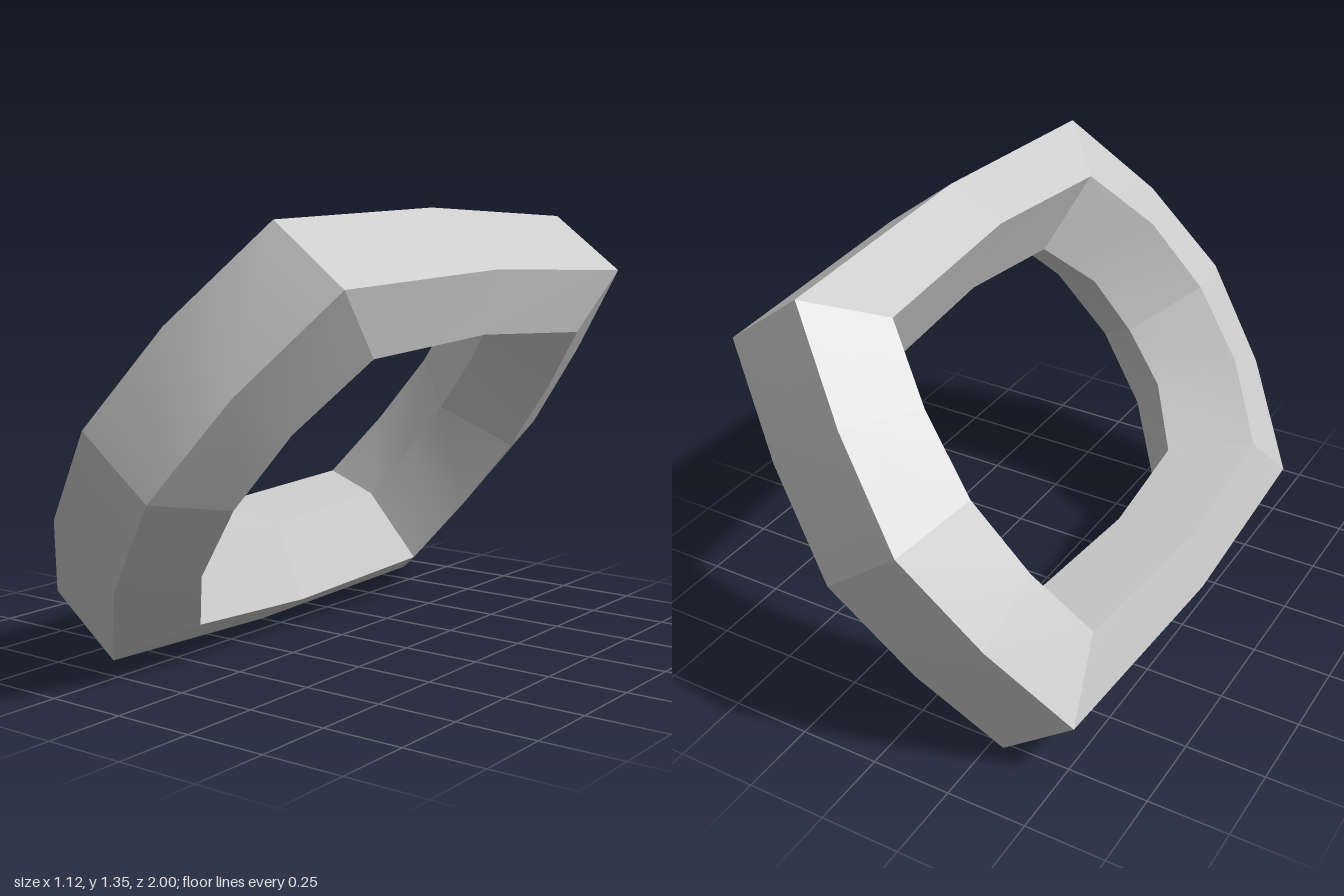
import * as THREE from 'three';
import { mergeGeometries } from 'three/addons/utils/BufferGeometryUtils.js';

// One side of the ring: each station gives [across, along z] for the outer, middle and inner edges
const halfRing = [
  [[0, 1], [0, 0.73], [0, 0.565]],
  [[0.355, 0.91], [0.27, 0.68], [0.207, 0.54]],
  [[0.7, 0.71], [0.519, 0.52], [0.396, 0.4]],
  [[0.737, 0], [0.56, 0], [0.432, 0]],
  [[0.7, -0.795], [0.519, -0.605], [0.396, -0.49]],
  [[0.355, -0.92], [0.27, -0.69], [0.207, -0.55]],
  [[0, -1], [0, -0.73], [0, -0.565]],
];
const mirrored = halfRing.slice(1, -1).reverse()
  .map((station) => station.map(([u, z]) => [-u, z]));
const stations = [...halfRing, ...mirrored];

// Five-sided section: which edge of the station, and its height through the thickness
const section = [[0, -0.145], [0, 0.145], [1, 0.226], [2, 0], [1, -0.226]];

// Runs of stations shaded smoothly; every run meets the next in a sharp edge
const runs = [[0, 1, 2], [2, 3], [3, 4], [4, 5, 6], [6, 7, 8], [8, 9], [9, 10], [10, 11, 0]];

function point(station, corner) {
  const [edge, height] = section[corner % section.length];
  const [u, z] = stations[station][edge];
  return [u, height, z];
}

// One face of the section swept along one run
function strip(run, corner) {
  const positions = [];
  const index = [];
  run.forEach((station, i) => {
    positions.push(...point(station, corner), ...point(station, corner + 1));
    if (i > 0) {
      const a = 2 * (i - 1);
      index.push(a, a + 2, a + 3, a, a + 3, a + 1);
    }
  });
  const geometry = new THREE.BufferGeometry();
  geometry.setAttribute('position', new THREE.Float32BufferAttribute(positions, 3));
  geometry.setIndex(index);
  geometry.computeVertexNormals();
  return geometry;
}

export function createModel() {
  const group = new THREE.Group();
  const strips = runs.flatMap((run) => section.map((_, corner) => strip(run, corner)));
  const link = new THREE.Mesh(
    mergeGeometries(strips),
    new THREE.MeshStandardMaterial({ color: 0xcccccc })
  );
  link.name = 'chainLink';
  // Lean the ring over and rest its lowest edge on the ground
  link.rotation.z = Math.atan2(0.796, 0.605);
  link.position.y = 0.675;
  group.add(link);
  return group;
}
